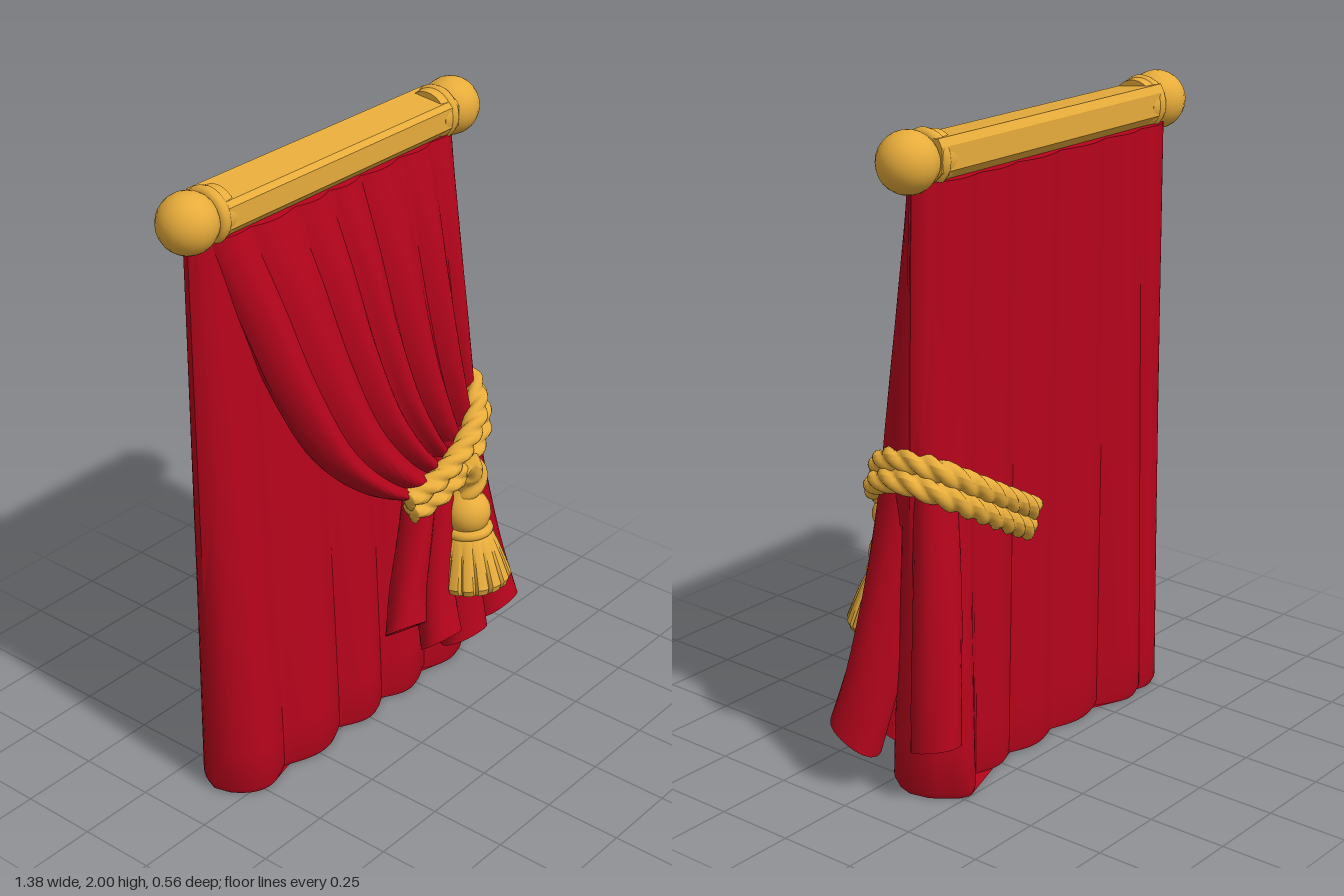
import * as THREE from 'three';
import { toCreasedNormals } from 'three/addons/utils/BufferGeometryUtils.js';

const V = (x, y, z) => new THREE.Vector3(x, y, z);
const lerp = THREE.MathUtils.lerp;
const bump = (x, centre, width) => Math.exp(-(((x - centre) / width) ** 2));

// Closed, capped skin over rings of points (rings run anticlockwise seen from above, top ring first)
function loft(rings, crease = 0.7) {
  const n = rings[0].length, last = rings.length - 1, pos = [], index = [];
  rings.forEach(r => r.forEach(p => pos.push(p.x, p.y, p.z)));
  for (let i = 0; i < last; i++) for (let j = 0; j < n; j++) {
    const k = (j + 1) % n, a = i * n + j, b = i * n + k;
    index.push(a, a + n, b, b, a + n, b + n);
  }
  [0, last].forEach(i => {
    const c = rings[i].reduce((s, p) => s.add(p), V(0, 0, 0)).divideScalar(n), ci = pos.length / 3;
    pos.push(c.x, c.y, c.z);
    for (let j = 0; j < n; j++) {
      const a = i * n + j, b = i * n + (j + 1) % n;
      if (i === 0) index.push(ci, a, b); else index.push(ci, b, a);
    }
  });
  const g = new THREE.BufferGeometry();
  g.setAttribute('position', new THREE.Float32BufferAttribute(pos, 3));
  g.setIndex(index);
  return toCreasedNormals(g, crease);
}

// Ring that runs along the front (side 1) and returns along the back (side -1)
function sheetRing(n, point) {
  const ring = [];
  for (let i = 0; i < n; i++) ring.push(point(i / n, 1));
  for (let i = n; i > 0; i--) ring.push(point(i / n, -1));
  return ring;
}

// Twisted three-strand rope
function rope(points, radius, twist) {
  const curve = new THREE.CatmullRomCurve3(points);
  const seg = Math.ceil(curve.getLength() * 130), rad = 18;
  const g = new THREE.TubeGeometry(curve, seg, radius, rad);
  const p = g.attributes.position, v = V(0, 0, 0);
  for (let i = 0; i <= seg; i++) {
    const c = curve.getPointAt(i / seg), s = curve.getLength() * i / seg;
    const end = i === 0 || i === seg ? 0.05 : 1;
    for (let j = 0; j <= rad; j++) {
      const k = i * (rad + 1) + j, a = j / rad * Math.PI * 2;
      const f = end * (0.74 + 0.4 * Math.abs(Math.sin(1.5 * a + twist * s)));
      v.fromBufferAttribute(p, k).sub(c).multiplyScalar(f).add(c);
      p.setXYZ(k, v.x, v.y, v.z);
    }
  }
  g.computeVertexNormals();
  return g;
}

// Rolled cloth tail: widening tube whose hollow mouth is cut at a slant
function tail(points, r0, r1, slant) {
  const curve = new THREE.CatmullRomCurve3(points.map(p => V(...p)));
  const profile = [];
  for (let i = 0; i <= 10; i++) profile.push([i / 10, lerp(r0, r1, i / 10)]);
  profile.push([1, r1 * 0.96], [1.0, r1 * 0.74], [0.98, r1 * 0.66], [0.86, r1 * 0.5]);
  return loft(profile.map(([t, r]) => {
    const c = curve.getPoint(t), T = curve.getTangent(t);
    const B = V(1, 0, 0).cross(T).normalize(), N = T.clone().cross(B).normalize();
    return Array.from({ length: 20 }, (_, j) => {
      const a = j / 20 * Math.PI * 2, q = r * (1 + 0.06 * Math.sin(3 * a + 4 * t));
      return c.clone().addScaledVector(N, q * Math.cos(a)).addScaledVector(B, q * Math.sin(a))
        .addScaledVector(T, slant * t * t * q * Math.sin(a));
    });
  }));
}

export function createModel() {
  const red = new THREE.MeshStandardMaterial({ color: 0xb6041c });
  red.name = 'curtain red';
  const gold = new THREE.MeshStandardMaterial({ color: 0xeaae3c });
  gold.name = 'trim gold';
  const model = new THREE.Group();
  model.name = 'curtain';
  const add = (name, geo, mat, x = 0, y = 0, z = 0, parent = model) => {
    const m = new THREE.Mesh(geo, mat);
    m.name = name;
    m.position.set(x, y, z);
    parent.add(m);
    return m;
  };

  // Eight-sided rod with a broad flat top, ball ends and collars
  const rodY = 1.91, rodZ = -0.11;
  const rodShape = new THREE.Shape([[-0.075, -0.03], [-0.045, -0.062], [0.045, -0.062], [0.075, -0.03], [0.075, 0.034], [0.062, 0.05], [-0.062, 0.064], [-0.075, 0.04]].map(p => new THREE.Vector2(...p)));
  const rodGeo = new THREE.ExtrudeGeometry(rodShape, { depth: 1.04, bevelEnabled: false });
  add('rod', rodGeo.translate(0, 0, -0.52).rotateY(Math.PI / 2).scale(-1, 1, -1), gold, -0.02, rodY, rodZ);
  [-1, 1].forEach(s => {
    const at = d => -0.025 + s * d;
    add('rodBall', new THREE.SphereGeometry(0.09, 20, 14), gold, at(0.58), rodY, rodZ);
    add('collarRing', new THREE.TorusGeometry(0.066, 0.02, 10, 24).rotateY(Math.PI / 2), gold, at(0.505), rodY, rodZ);
    const c = new THREE.CylinderGeometry(0.08, 0.076, 0.035, 24).rotateZ(-s * Math.PI / 2);
    add('collar', toCreasedNormals(c, 0.6), gold, at(0.478), rodY, rodZ);
  });

  // Hanging back cloth: rounded folds, deeper toward the hem and at the outer back corners
  const hang = [[1.853, 0], [1.6, 0.14], [1.3, 0.3], [1, 0.45], [0.7, 0.62], [0.4, 0.8], [0.15, 0.95], [0.02, 1], [0, 1]];
  add('backCloth', loft(hang.map(([y, t], row) => sheetRing(84, (u, side) => {
    const w = Math.abs(2 * u - 1), round = Math.sqrt(Math.max(0, 1 - w ** 10));
    const front = side > 0, hem = row === hang.length - 1;
    const uu = u + 0.018 * Math.sin(u * 9 + side);
    const fold = Math.abs(Math.sin(Math.PI * (front ? 5 * uu : 6 * uu + 0.11)));
    const corner = front ? 0 : t * (0.045 * bump(u, 0.15, 0.11)) + Math.max(0, t - 0.45) * 0.16 * bump(u, 0.94, 0.08);
    const depth = (lerp(front ? 0.052 : 0.078, front ? 0.145 : 0.098, t) * (lerp(0.76, 0.68, t) + lerp(0.24, 0.32, t) * fold) + corner) * round;
    return V(lerp(-0.605, lerp(0.548, 0.582, t), u) * (hem ? 0.985 : 1), y, lerp(-0.115, -0.1, t) + side * depth * (hem ? 0.93 : 1));
  }))), red);

  // Front drape swept across to the tie
  const left = new THREE.CatmullRomCurve3([[-0.57, 1.853], [-0.48, 1.6], [-0.37, 1.3], [-0.22, 1.03], [-0.02, 0.85], [0.22, 0.73]].map(p => V(p[0], p[1], 0)));
  const right = new THREE.CatmullRomCurve3([[0.55, 1.853], [0.55, 1.65], [0.552, 1.42], [0.558, 1.2], [0.565, 1.0], [0.555, 0.84]].map(p => V(p[0], p[1], 0)));
  const drapeRings = [];
  for (let i = 0; i <= 30; i++) {
    const t = i / 30, L = left.getPoint(t), R = right.getPoint(t), b = Math.sin(t * Math.PI / 2);
    drapeRings.push(sheetRing(84, (u, side) => {
      const w = Math.abs(2 * u - 1), round = Math.sqrt(Math.max(0, 1 - w ** 6));
      const fold = Math.abs(Math.sin(Math.PI * 7 * (u + 0.012 * Math.sin(u * 14))));
      const zc = lerp(lerp(-0.1, 0.055, b), lerp(-0.11, -0.085, b), u);
      const depth = (lerp(0.072, lerp(0.09, 0.135, u), b) + 0.018 * Math.sin(Math.PI * t)) * round;
      const p = L.clone().lerp(R, u);
      p.z = zc + side * depth * (side > 0 ? lerp(0.74, 0.62, b) + lerp(0.26, 0.4, b) * fold : 0.85);
      return p;
    }));
  }
  add('frontDrape', loft(drapeRings), red);

  // Flared tails below the tie: path, top radius, mouth radius, slant of the mouth
  [
    [[[0.25, 0.84, 0.04], [0.2, 0.62, 0.06], [0.14, 0.43, 0.075], [0.108, 0.31, 0.09]], 0.05, 0.064, 0.6],
    [[[0.32, 0.87, 0.04], [0.29, 0.62, 0.07], [0.25, 0.38, 0.1], [0.238, 0.22, 0.135]], 0.055, 0.07, 0.5],
    [[[0.4, 0.9, 0.03], [0.41, 0.6, 0.05], [0.42, 0.32, 0.065], [0.425, 0.125, 0.085]], 0.068, 0.08, 0.45],
    [[[0.48, 0.97, -0.02], [0.52, 0.65, 0.01], [0.57, 0.35, 0.04], [0.606, 0.155, 0.075]], 0.072, 0.086, 0.35],
    [[[0.49, 0.97, -0.13], [0.52, 0.65, -0.165], [0.545, 0.38, -0.185], [0.56, 0.18, -0.2]], 0.068, 0.076, -0.2]
  ].forEach(a => add('clothTail', tail(...a), red));

  // Doubled rope tie around the gathered cloth
  const tie = [[0.1, 0.77, 0.1], [0.22, 0.8, 0.125], [0.36, 0.86, 0.125], [0.48, 0.93, 0.085], [0.55, 0.995, 0],
    [0.565, 1.017, -0.1], [0.53, 0.995, -0.19], [0.44, 0.94, -0.23], [0.28, 0.85, -0.234], [0.13, 0.77, -0.205]];
  [-0.028, 0.028].forEach(d =>
    add('tieRope', rope(tie.map(([x, y, z]) => V(x - d * 0.4, y + d, z)), 0.034, 44), gold));

  // Tassel: cord, knob, neck ring and fluted skirt with a domed underside
  const tassel = new THREE.Group();
  tassel.name = 'tassel';
  tassel.position.set(0.368, 0.715, 0.128);
  tassel.rotation.x = -0.09;
  model.add(tassel);
  add('tasselCord', rope([V(-0.025, 0.13, 0.025), V(0.015, 0.07, 0.025), V(0, -0.03, 0)], 0.038, 44), gold, 0, 0, 0, tassel);
  add('tasselKnob', new THREE.SphereGeometry(0.076, 24, 16), gold, 0, -0.065, 0, tassel);
  add('tasselNeck', new THREE.TorusGeometry(0.064, 0.017, 10, 28).rotateX(Math.PI / 2), gold, 0, -0.125, 0, tassel);
  const skirt = [[0.055, -0.11], [0.078, -0.14], [0.095, -0.18], [0.112, -0.23], [0.131, -0.29], [0.122, -0.312], [0.085, -0.333], [0.04, -0.343]];
  add('tasselSkirt', loft(skirt.map(([r, y], i) => Array.from({ length: 96 }, (_, j) => {
    const a = -j / 96 * Math.PI * 2, groove = (1 - Math.abs(Math.sin(a * 8))) ** 3;
    const f = 1 - Math.min(i, 4) * 0.025 * groove;
    return V(r * f * Math.cos(a), y, r * f * Math.sin(a));
  })), 0.6), gold, 0, 0, 0, tassel);

  return model;
}
